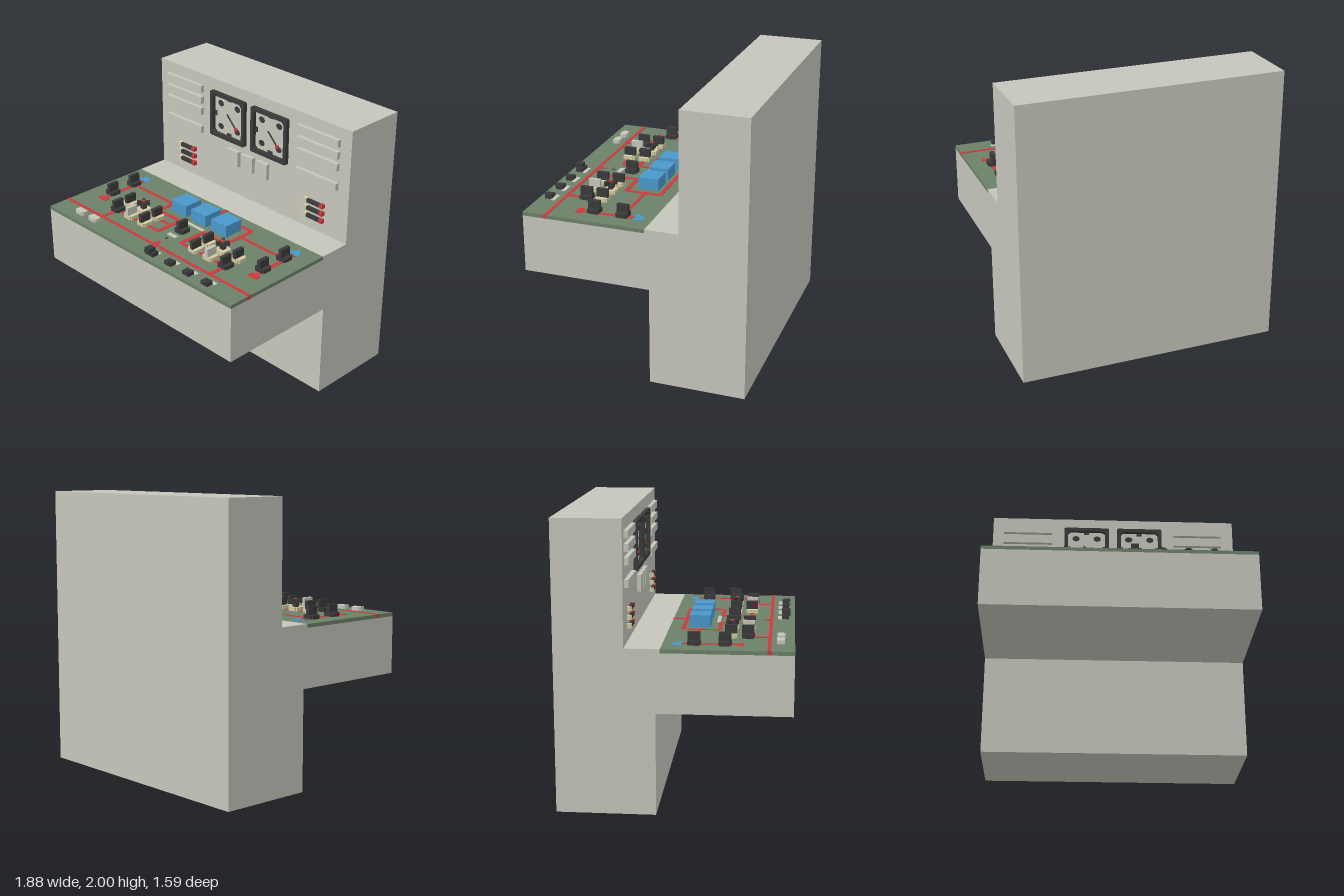
import * as THREE from 'three';

const mat = (name, color) => Object.assign(new THREE.MeshStandardMaterial({ color }), { name });

export function createModel() {
  const grey = mat('cabinetGrey', 0xc5c5bb), green = mat('panelGreen', 0x6b8069);
  const red = mat('trackRed', 0xcc3a3c), blue = mat('displayBlue', 0x4a98cc);
  const dark = mat('switchBlack', 0x3a3a3b), cream = mat('switchCream', 0xd0c9a0);
  const model = new THREE.Group();
  model.name = 'controlDesk';
  const TOP = 1.148, WALL = -0.325, W = 0.94, MID = 0.013;

  const add = (name, geo, m, x, y, z, parent = model) => {
    const mesh = new THREE.Mesh(geo, m);
    mesh.name = name;
    mesh.position.set(x, y, z);
    parent.add(mesh);
    return mesh;
  };
  // box given by its x, y and z limits
  const span = (name, m, x0, x1, y0, y1, z0, z1, parent) =>
    add(name, new THREE.BoxGeometry(x1 - x0, y1 - y0, z1 - z0), m,
      (x0 + x1) / 2, (y0 + y1) / 2, (z0 + z1) / 2, parent);
  const group = (name, x, y, z) => {
    const g = new THREE.Group();
    g.name = name;
    g.position.set(x, y, z);
    model.add(g);
    return g;
  };

  // Cabinet: side profile (z, y) extruded across the width
  const profile = [[-0.795, 0], [-0.115, 0], [-0.115, 0.71], [0.795, 0.71], [0.795, 1.122],
    [-0.085, 1.122], [-0.085, TOP], [WALL, TOP], [WALL, 2], [-0.795, 2]];
  const body = new THREE.ExtrudeGeometry(
    new THREE.Shape(profile.map(([z, y]) => new THREE.Vector2(-z, y))),
    { depth: 2 * W, bevelEnabled: false });
  body.rotateY(Math.PI / 2);
  add('cabinet', body, grey, -W, 0, 0);
  span('deskPanel', green, -W, W, 1.122, TOP, -0.085, 0.795);

  // Flat markings on the desk
  const plate = (name, m, x0, x1, z0, z1, h = 0.003) => span(name, m, x0, x1, TOP - 0.002, TOP + h, z0, z1);
  const track = (x0, x1, z0, z1) => plate('track', red, x0, x1, z0, z1);
  track(-W, W, 0.614, 0.638);
  for (const s of [-1, 1]) span('trackEnd', red, s * W - 0.001, s * W + 0.001, 1.122, TOP, 0.62, 0.645);
  track(MID - 0.013, MID + 0.013, -0.085, 0.012);
  track(MID - 0.013, MID + 0.013, 0.57, 0.62);
  track(MID - 0.02, MID + 0.02, 0.6, 0.62);
  track(MID - 0.345, MID + 0.345, 0, 0.028);
  for (const s of [-1, 1]) {
    const sideTrack = (a, b, z0, z1) => track(MID + Math.min(s * a, s * b), MID + Math.max(s * a, s * b), z0, z1);
    sideTrack(0.332, 0.362, 0.012, 0.27);
    sideTrack(0.105, 0.345, 0.256, 0.285);
    sideTrack(0.105, 0.135, 0.27, 0.485);
    sideTrack(0.12, 0.55, 0.347, 0.372);
    sideTrack(0.12, 0.55, 0.467, 0.492);
    sideTrack(0.542, 0.572, 0.48, 0.62);
    sideTrack(0.35, 0.79, 0.116, 0.14);
    sideTrack(0.762, 0.792, 0.045, 0.42);
    sideTrack(0.735, 0.819, 0.418, 0.458);
    sideTrack(0.75, 0.804, 0.405, 0.42);
    // Blue direction arrow
    const x = s * 0.777;
    plate('arrowTip', blue, x - 0.015, x + 0.015, -0.03, 0.02);
    plate('arrowHead', blue, x - 0.03, x + 0.03, -0.012, 0.03, 0.0035);
    for (const w of [-1, 1]) plate('arrowWing', blue, x + w * 0.031 - 0.016, x + w * 0.031 + 0.016, 0.012, 0.045, 0.004);
  }
  plate('longLabel', grey, MID - 0.105, MID + 0.105, 0.237, 0.262, 0.004);
  plate('smallLabel', grey, MID - 0.042, MID + 0.042, 0.435, 0.468, 0.004);
  plate('slot', dark, MID - 0.005, MID + 0.005, 0.497, 0.52, 0.004);

  // Blue display boxes
  for (const i of [-1, 0, 1]) {
    const x = MID + i * 0.206;
    span('displayBox', blue, x - 0.075, x + 0.075, TOP, 1.236, 0.053, 0.202);
  }

  // Desk switches: square base with an upright lever plate
  const rotarySwitch = (x, z, base, lever, crossed = false) => {
    const g = group('deskSwitch', x, TOP, z);
    span('switchBase', base, -0.043, 0.043, 0, 0.028, -0.033, 0.033, g);
    span('switchBaseMiddle', base, -0.033, 0.033, 0, 0.0275, -0.043, 0.043, g);
    if (!crossed) {
      span('lever', lever, -0.014, 0.014, 0.02, 0.087, -0.042, 0.042, g);
      return;
    }
    span('leverStem', lever, -0.016, 0.016, 0.02, 0.062, -0.016, 0.016, g);
    for (const a of [1, -1]) {
      const bar = add('crossBar', new THREE.BoxGeometry(0.024, 0.03, 0.095), lever, 0, 0.072 - (a < 0 ? 0.001 : 0), 0, g);
      bar.rotation.y = a * Math.PI / 4;
    }
    span('leverCap', red, -0.012, 0.012, 0.08, 0.09, -0.012, 0.012, g);
  };
  for (const s of [-1, 1]) {
    for (const z of [0.127, 0.333]) rotarySwitch(s * 0.777, z, dark, dark);
    const c = MID;
    rotarySwitch(c + s * 0.558, 0.478, dark, dark);
    rotarySwitch(c + s * 0.558, 0.36, cream, dark);
    rotarySwitch(c + s * 0.411, 0.36, cream, dark, true);
    rotarySwitch(c + s * 0.265, 0.36, cream, dark);
    rotarySwitch(c + s * 0.411, 0.478, cream, grey);
    rotarySwitch(c + s * 0.265, 0.478, cream, dark);
  }
  rotarySwitch(MID, 0.36, dark, dark);

  // Front row: push buttons and labelled toggles
  for (const x of [-0.69, -0.545]) {
    span('pushButton', grey, x - 0.043, x + 0.043, TOP, 1.176, 0.682, 0.72);
    span('pushButtonMiddle', grey, x - 0.034, x + 0.034, TOP, 1.1755, 0.674, 0.728);
  }
  [[0.1, 0.043], [0.29, 0.03], [0.467, 0.03], [0.645, 0.03]].forEach(([x, w]) => {
    plate('toggleLabel', grey, x - 0.048, x + 0.048, 0.672, 0.702, 0.004);
    span('toggleBase', dark, x - w, x + w, TOP, 1.176, 0.7, 0.752);
    span('toggle', dark, x - w * 0.6, x + w * 0.6, 1.17, w > 0.04 ? 1.206 : 1.18, 0.71, 0.762);
  });

  // Raised strips and square plates on the wall
  const FRONT = WALL + 0.03;
  for (const x of [-0.667, 0.657])
    for (const y of [1.886, 1.798, 1.71, 1.562])
      span('wallStrip', grey, x - 0.188, x + 0.188, y - 0.027, y + 0.027, WALL, FRONT);
  for (const x of [-0.15, -0.005, 0.14])
    span('wallPlate', grey, x - 0.058, x + 0.058, 1.385, 1.505, WALL, FRONT);

  // Wall levers: cream pivot, dark rod, red knob
  for (const x of [-0.738, 0.556])
    for (const y of [1.368, 1.31, 1.252]) {
      const g = group('wallLever', x, y, WALL);
      span('pivot', cream, 0, 0.03, -0.015, 0.015, 0, 0.03, g);
      span('rod', dark, 0.03, 0.147, -0.013, 0.013, 0.005, 0.028, g);
      span('knob', red, 0.147, 0.177, -0.015, 0.015, 0, 0.03, g);
    }

  // Square gauges: frame, dial marks and needle
  const frame = new THREE.Shape();
  const R = 0.174, r = 0.146, c = 0.02;
  const octagon = (q, k) => [[-q + k, -q], [q - k, -q], [q, -q + k], [q, q - k], [q - k, q], [-q + k, q], [-q, q - k], [-q, -q + k]]
    .map(([x, y]) => new THREE.Vector2(x, y));
  frame.setFromPoints(octagon(R, 0.008));
  frame.holes.push(new THREE.Path(octagon(r, c)));
  const frameGeo = new THREE.ExtrudeGeometry(frame, { depth: 0.03, bevelEnabled: false });
  for (const x of [-0.209, 0.204]) {
    const g = group('gauge', x, 1.738, WALL);
    add('gaugeFrame', frameGeo, dark, 0, 0, 0, g);
    for (const sx of [-1, 1]) {
      for (const sy of [-1, 1]) {
        const mark = add('dialMark', new THREE.CircleGeometry(0.027, 8), dark, sx * 0.083, sy * 0.09, 0.004, g);
        mark.scale.set(1.1, 0.9, 1);
      }
      span('sideTick', dark, sx * 0.138 - 0.012, sx * 0.138 + 0.012, -0.02, 0.02, 0, 0.006, g);
      span('endTick', dark, -0.02, 0.02, sx * 0.138 - 0.012, sx * 0.138 + 0.012, 0, 0.006, g);
    }
    const needle = add('needle', new THREE.BoxGeometry(0.13, 0.011, 0.005), dark, 0.024, -0.024, 0.006, g);
    needle.rotation.z = -Math.PI / 4;
    span('needleTip', red, 0.056, 0.084, -0.085, -0.057, 0.004, 0.011, g);
  }
  return model;
}
